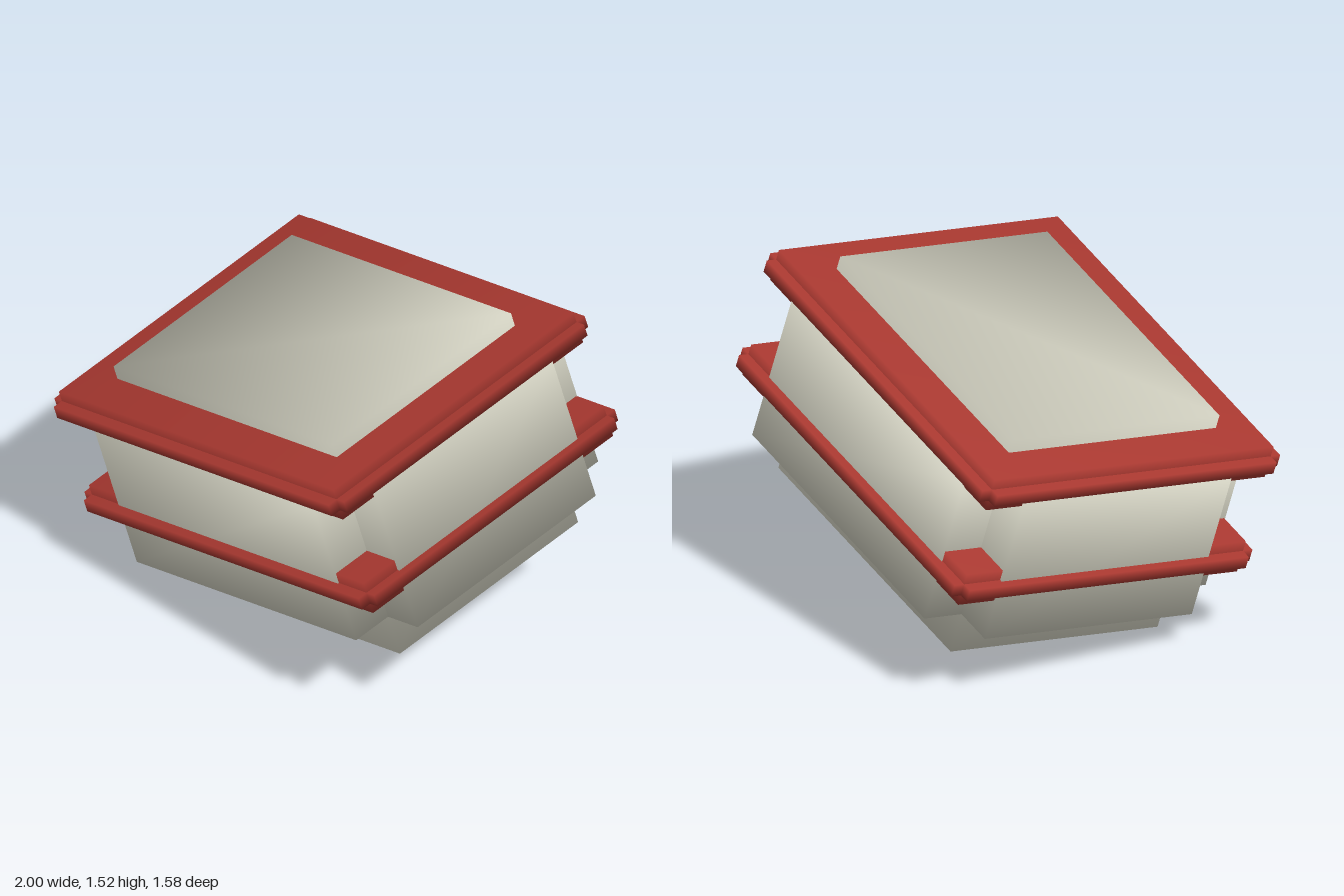
import * as THREE from 'three';
import { mergeVertices } from 'three/addons/utils/BufferGeometryUtils.js';

// Box with shared corners for soft shading, sized by half extents.
function softBox(hx, hy, hz) {
  const box = new THREE.BoxGeometry(hx * 2, hy * 2, hz * 2);
  box.deleteAttribute('normal');
  box.deleteAttribute('uv');
  const g = mergeVertices(box);
  g.computeVertexNormals();
  return g;
}

// Block with stepped edges: three crossed boxes, each full size on one axis.
function steppedBlock(name, half, step, material) {
  const block = new THREE.Group();
  block.name = name;
  ['Sides', 'TopAndBottom', 'FrontAndBack'].forEach((label, axis) => {
    const size = half.map((h, i) => (i === axis ? h : h - step));
    const mesh = new THREE.Mesh(softBox(...size), material);
    mesh.name = name + label;
    block.add(mesh);
  });
  return block;
}

export function createModel() {
  const cream = new THREE.MeshStandardMaterial({ color: 0xd5d4c4 });
  cream.name = 'cream';
  const red = new THREE.MeshStandardMaterial({ color: 0xa83830 });
  red.name = 'red';

  const group = new THREE.Group();
  group.name = 'crate';
  const tilted = new THREE.Group();
  tilted.name = 'tiltedCrate';
  tilted.position.y = 0.76;
  tilted.rotation.set(0.135, 0, 0.248, 'ZXY');
  group.add(tilted);

  const add = (block, y) => {
    block.position.set(0.026, y, -0.02);
    tilted.add(block);
  };

  // body, whose top panel rises through the upper band
  add(steppedBlock('body', [0.894, 0.536, 0.72], 0.19, cream), -0.012);
  // red bands around the body
  add(steppedBlock('lowerBand', [0.93, 0.076, 0.762], 0.048, red), -0.095);
  add(steppedBlock('upperBand', [0.93, 0.076, 0.762], 0.048, red), 0.385);

  return group;
}
